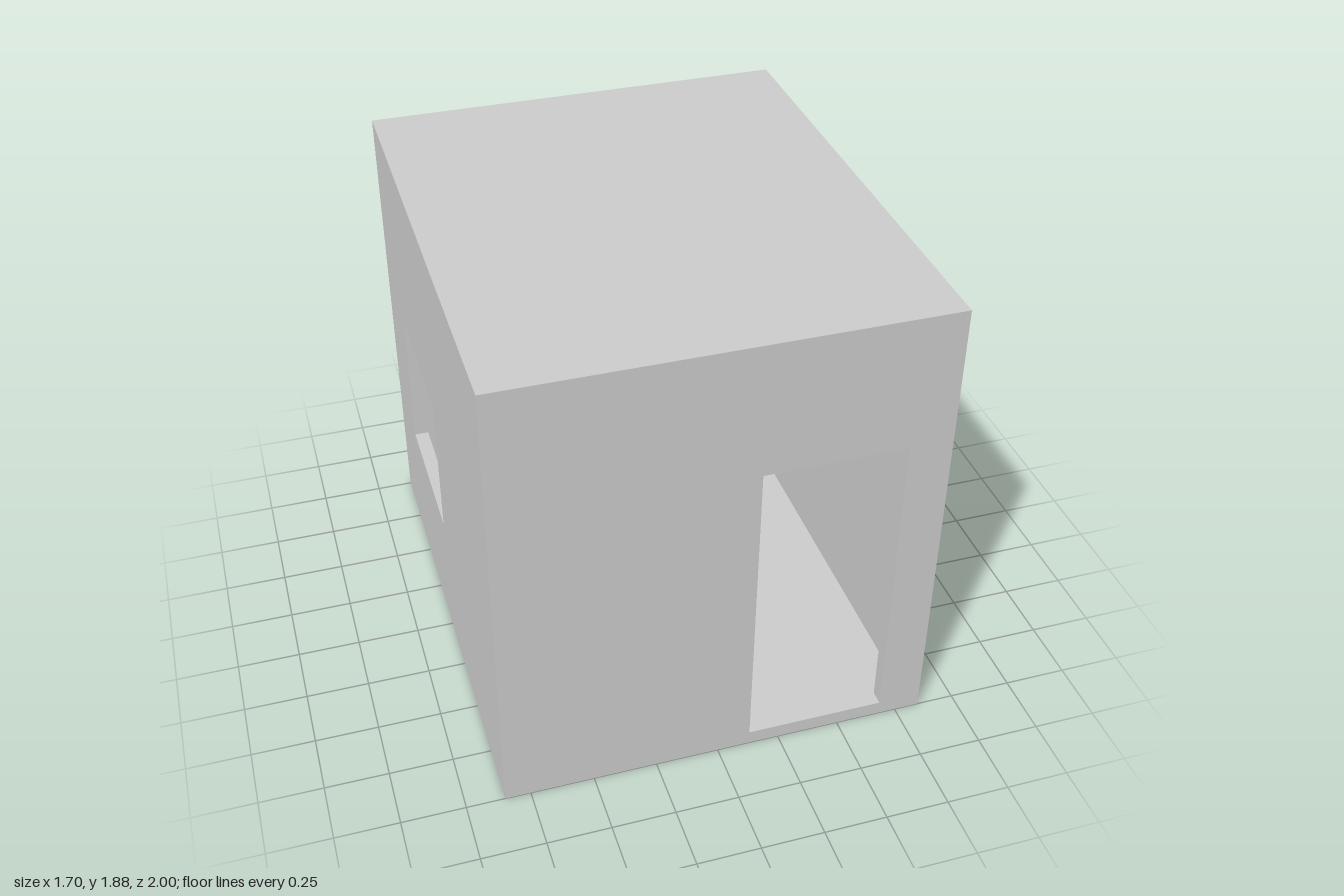
import * as THREE from 'three';

const W = 1.7, H = 1.88, D = 2, T = 0.057; // outer size and wall thickness
const material = new THREE.MeshStandardMaterial({ color: 0xcccccc, flatShading: true });

// Four corners of a rectangle, anticlockwise seen from +z
const ring = (x0, y0, x1, y1, z) => [[x0, y0, z], [x1, y0, z], [x1, y1, z], [x0, y1, z]];

// Mitred wall slab with its outer face at z = dist; opening = [x0, y0, x1, y1]
function slab(name, w, h, dist, opening) {
  const a = w / 2, b = h / 2, inner = dist - T;
  const outerRim = ring(-a, -b, a, b, dist);
  const innerRim = ring(T - a, T - b, a - T, b - T, inner);
  const points = [];
  const quad = (p, q, r, s) => points.push(...p, ...q, ...r, ...p, ...r, ...s);

  if (opening) {
    // Outer face, reveal of the opening, inner face
    const loops = [outerRim, ring(...opening, dist), ring(...opening, inner), innerRim];
    for (let i = 0; i < 3; i++) {
      for (let k = 0; k < 4; k++) {
        const n = (k + 1) % 4;
        quad(loops[i][k], loops[i][n], loops[i + 1][n], loops[i + 1][k]);
      }
    }
  } else {
    quad(...outerRim);
    quad(...innerRim.reverse());
  }
  const geometry = new THREE.BufferGeometry();
  geometry.setAttribute('position', new THREE.Float32BufferAttribute(points, 3));
  geometry.computeVertexNormals();
  const mesh = new THREE.Mesh(geometry, material);
  mesh.name = name;
  return mesh;
}

export function createModel() {
  const room = new THREE.Group();
  room.name = 'room';
  const mid = H / 2, quarter = Math.PI / 2;

  // Front wall with the doorway, its threshold level with the floor
  const frontWall = slab('frontWall', W, H, D / 2, [0.13, T - mid, 0.68, 1.335 - mid]);

  const backWall = slab('backWall', W, H, D / 2);
  backWall.rotation.y = Math.PI;

  const leftWall = slab('leftWall', D, H, W / 2);
  leftWall.rotation.y = quarter;

  // Wall on the -x side with the window
  const rightWall = slab('rightWall', D, H, W / 2, [-0.63, 0.553 - mid, 0.005, 1.14 - mid]);
  rightWall.rotation.y = -quarter;

  const roof = slab('roof', W, D, mid);
  roof.rotation.x = -quarter;

  const floor = slab('floor', W, D, mid);
  floor.rotation.x = quarter;

  for (const part of [frontWall, backWall, leftWall, rightWall, roof, floor]) {
    part.position.y = mid;
    room.add(part);
  }
  return room;
}
